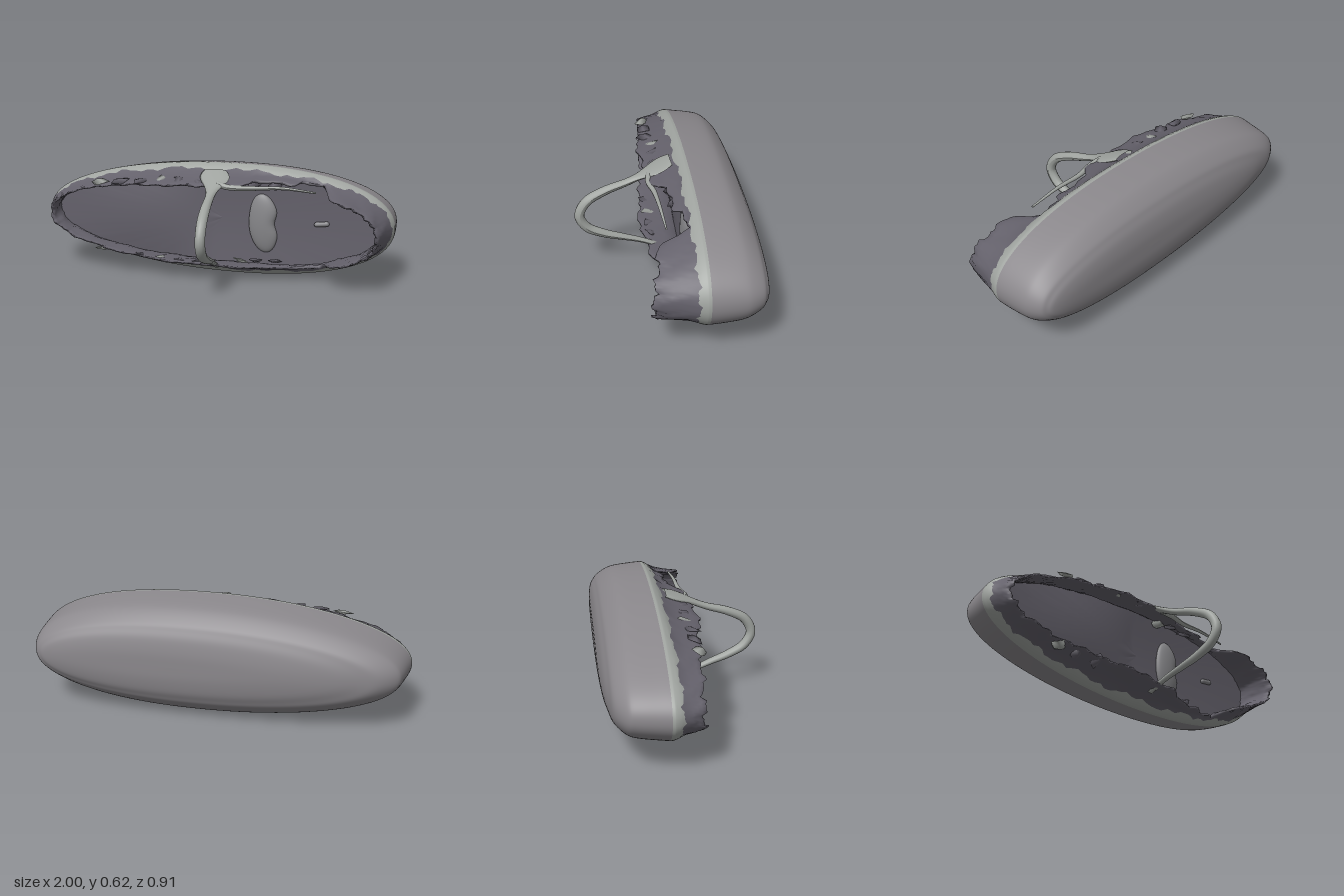
import * as THREE from 'three';

const paint = (color) => new THREE.MeshStandardMaterial({ color, side: THREE.DoubleSide });
const BODY = paint(0x8b888c), PALE = paint(0xa0a4a0), DARK = paint(0x64616b), PAD = paint(0x868689);
const SEG = 180;

// Outline extents at each depth: z, xMin, xMax, yMin, yMax
const OUTLINE = [
  [-0.455, 0.2, 0.2, 0.31, 0.31],
  [-0.453, -0.3, 0.7, 0.238, 0.382],
  [-0.44, -0.6, 0.88, 0.167, 0.453],
  [-0.42, -0.76, 0.93, 0.123, 0.499],
  [-0.4, -0.86, 0.955, 0.09, 0.532],
  [-0.35, -0.94, 0.98, 0.043, 0.577],
  [-0.3, -0.965, 0.99, 0.018, 0.6],
  [-0.2, -0.987, 0.998, 0.003, 0.615],
  [-0.13, -1, 1, 0, 0.62],
  [-0.105, -0.992, 0.993, 0.015, 0.605],
  [-0.08, -0.978, 0.985, 0.04, 0.58],
  [0, -0.955, 0.97, 0.06, 0.553],
  [0.13, -0.91, 0.945, 0.085, 0.525],
];
const smoothOutline = new THREE.CubicInterpolant(OUTLINE.map((_, i) => i), OUTLINE.flat(), 5);

// Straight interpolation along a table whose first column is the key
function lookUp(table, key) {
  let i = 0;
  while (i < table.length - 2 && table[i + 1][0] < key) i++;
  const [a, b] = [table[i], table[i + 1]];
  const t = THREE.MathUtils.clamp((key - a[0]) / (b[0] - a[0]), 0, 1);
  return a.map((v, k) => v + (b[k] - v) * t);
}

// Point on a rounded section, squarer towards the front, pulled inward by inset
function sectionPoint([z, x0, x1, y0, y1], angle, inset = 0) {
  const c = Math.cos(angle), s = Math.sin(angle);
  const power = THREE.MathUtils.mapLinear(THREE.MathUtils.clamp(z, -0.13, 0.1), -0.13, 0.1, 0.94, 0.83);
  const pow = (v) => Math.sign(v) * Math.pow(Math.abs(v), power);
  const a = Math.max((x1 - x0) / 2 - inset * 1.3, 0), b = Math.max((y1 - y0) / 2 - inset, 0);
  return [(x0 + x1) / 2 + a * (pow(c) + 0.09 * s * s), (y0 + y1) / 2 + b * pow(s), z];
}
const outlinePoint = (z, angle, inset) => sectionPoint(lookUp(OUTLINE, z), angle, inset);

const wave = (a, k) => Math.sin(a * 17 + k) * 0.45 + Math.sin(a * 41 + k * 2) * 0.3 + Math.sin(a * 67 + k * 3) * 0.25;

// Uneven line where the pale band meets the torn rim
const seam = (angle) => -0.092 + 0.016 * wave(angle, 5);

// Depth at which the torn rim ends, by position across the opening
const TEAR = [[-1, 0.01], [-0.85, 0.02], [-0.6, 0.045], [-0.35, 0.075], [-0.1, 0.08], [0.05, 0.05], [0.15, -0.02],
  [0.36, -0.03], [0.42, -0.08], [0.56, -0.08], [0.63, 0.07], [0.85, 0.09], [1, 0.115]];
const tornEdge = (angle) => Math.max(lookUp(TEAR, Math.cos(angle))[1] + 0.022 * wave(angle, 1), seam(angle) + 0.005);

// Join rings of points into one surface
function loft(rings) {
  const n = rings[0].length, index = [];
  for (let i = 0; i < rings.length - 1; i++) {
    for (let j = 0; j < n; j++) {
      const k = (j + 1) % n;
      const [a, b, c, d] = [i * n + j, i * n + k, (i + 1) * n + k, (i + 1) * n + j];
      index.push(a, b, c, a, c, d);
    }
  }
  const geo = new THREE.BufferGeometry();
  geo.setAttribute('position', new THREE.Float32BufferAttribute(rings.flat(2), 3));
  geo.setIndex(index);
  geo.computeVertexNormals();
  return geo;
}

const ring = (fn) => Array.from({ length: SEG }, (_, j) => fn((j / SEG) * Math.PI * 2));

function add(group, name, geometry, material) {
  const mesh = new THREE.Mesh(geometry, material);
  mesh.name = name;
  group.add(mesh);
  return mesh;
}

// Tube whose radius follows radiusAt(t), with optional sideways widening
function strand(points, radiusAt, widen = () => 1) {
  const curve = new THREE.CatmullRomCurve3(points.map((p) => new THREE.Vector3(...p)));
  const steps = 64, sides = 12;
  const geo = new THREE.TubeGeometry(curve, steps, 1, sides);
  const pos = geo.attributes.position, v = new THREE.Vector3();
  for (let i = 0; i < pos.count; i++) {
    const t = Math.floor(i / (sides + 1)) / steps;
    const c = curve.getPointAt(t);
    v.fromBufferAttribute(pos, i).sub(c).multiplyScalar(radiusAt(t));
    v.x *= widen(t);
    v.add(c);
    pos.setXYZ(i, v.x, v.y, v.z);
  }
  geo.computeVertexNormals();
  return geo;
}

export function createModel() {
  const model = new THREE.Group();

  // Smooth outer body, then the paler band that turns in towards the opening
  const bodyRings = (from, to, steps) => Array.from({ length: steps + 1 }, (_, i) => {
    const section = [...smoothOutline.evaluate(from + (to - from) * i / steps)];
    return ring((a) => sectionPoint(section, a));
  });
  add(model, 'outerShell', loft(bodyRings(0, 7.7, 32)), BODY);
  const band = bodyRings(7.7, 8, 3);
  for (let i = 1; i <= 4; i++) band.push(ring((a) => outlinePoint(-0.13 + (seam(a) + 0.13) * i / 4, a)));
  add(model, 'rimBand', loft(band), PALE);

  // Torn rim, folding over its edge and running back to the inner floor
  const rim = [];
  for (let i = 0; i <= 5; i++) {
    rim.push(ring((a) => {
      const start = seam(a);
      return outlinePoint(start + (tornEdge(a) - start) * i / 5, a, 0.006 * (i / 5) * (1 + wave(a, i)));
    }));
  }
  for (let i = 0; i <= 5; i++) {
    rim.push(ring((a) => {
      const e = tornEdge(a), z = e + (-0.12 - e) * i / 5;
      return outlinePoint(z, a, 0.016 + 0.029 * i / 5 + 0.005 * wave(a, i + 4));
    }));
  }
  add(model, 'tornRim', loft(rim), DARK);

  // Shallow floor inside the opening, a little higher on the right half
  const floor = [];
  for (let i = 0; i <= 10; i++) {
    const t = i / 10;
    floor.push(ring((a) => {
      const [x0, y0] = outlinePoint(-0.12, a, 0.045 + 0.005 * wave(a, 9) * (1 - t));
      const x = x0 + (0.05 - x0) * t, y = y0 + (0.31 - y0) * t;
      const rise = 0.04 * Math.sin(Math.PI * THREE.MathUtils.clamp(-x, 0, 1)) * Math.sin(t * Math.PI / 2);
      return [x, y, -0.12 - 0.01 * Math.sin(t * Math.PI / 2) + rise];
    }));
  }
  add(model, 'innerFloor', loft(floor), DARK);

  // Kidney-shaped pad: a flattened ball pinched on one side
  const padGeo = new THREE.SphereGeometry(1, 32, 24);
  const pos = padGeo.attributes.position;
  for (let i = 0; i < pos.count; i++) {
    const x = pos.getX(i), y = pos.getY(i);
    const pinch = x > 0 ? 1 - 0.3 * Math.exp(-y * y * 12) : 1;
    pos.setX(i, x * pinch - 0.15 * y * y * Math.sign(y));
  }
  padGeo.computeVertexNormals();
  const pad = add(model, 'innerPad', padGeo, PAD);
  pad.scale.set(0.085, 0.165, 0.035);
  pad.position.set(0.285, 0.295, -0.125);

  // Small peg on the floor
  const peg = add(model, 'innerPeg', new THREE.CapsuleGeometry(0.014, 0.055, 6, 12), PAD);
  peg.rotation.z = Math.PI / 2 + 0.12;
  peg.position.set(0.61, 0.315, -0.115);

  // Looped strap, flaring where it meets the rim and thicker at its tip
  add(model, 'strap', strand([
    [0.02, 0.585, -0.07], [0.045, 0.545, 0.03], [0.06, 0.487, 0.16], [0.075, 0.445, 0.29], [0.088, 0.39, 0.39],
    [0.092, 0.31, 0.428], [0.088, 0.235, 0.39], [0.08, 0.185, 0.3], [0.07, 0.15, 0.2], [0.055, 0.11, 0.09], [0.045, 0.06, -0.02],
  ], (t) => 0.012 + 0.015 * Math.pow(Math.sin(t * Math.PI), 2),
  (t) => 1 + 0.4 * Math.abs(1 - 2 * t) + 5.5 * Math.exp(-Math.pow((t - 0.05) / 0.09, 2))), PALE);

  // Thin strand running sideways from the top of the strap
  add(model, 'looseStrand', strand([
    [0.07, 0.535, 0.05], [0.14, 0.524, 0.06], [0.25, 0.522, 0.04], [0.42, 0.53, 0.03], [0.6, 0.515, 0.02],
  ], (t) => 0.017 - 0.012 * t), PALE);

  // Frayed flakes lying along the upper and lower rim
  for (const side of [1, -1]) {
    [-0.62, -0.5, -0.38, -0.27, -0.16, -0.06, 0.17, 0.25, 0.36].forEach((x, i) => {
      const z = (x < 0.1 ? 0.02 : -0.07) + 0.02 * wave(x * 3, side);
      const flake = add(model, 'frayedFlake', new THREE.TetrahedronGeometry(1, 1), i % 3 ? DARK : PALE);
      flake.scale.set(0.055, 0.012, 0.04);
      flake.position.set(x, 0.31 + side * (0.225 - 0.08 * x * x), z);
      flake.rotation.set(side * 0.3, x * 5, 0.25 * wave(x, 2));
    });
  }
  return model;
}
